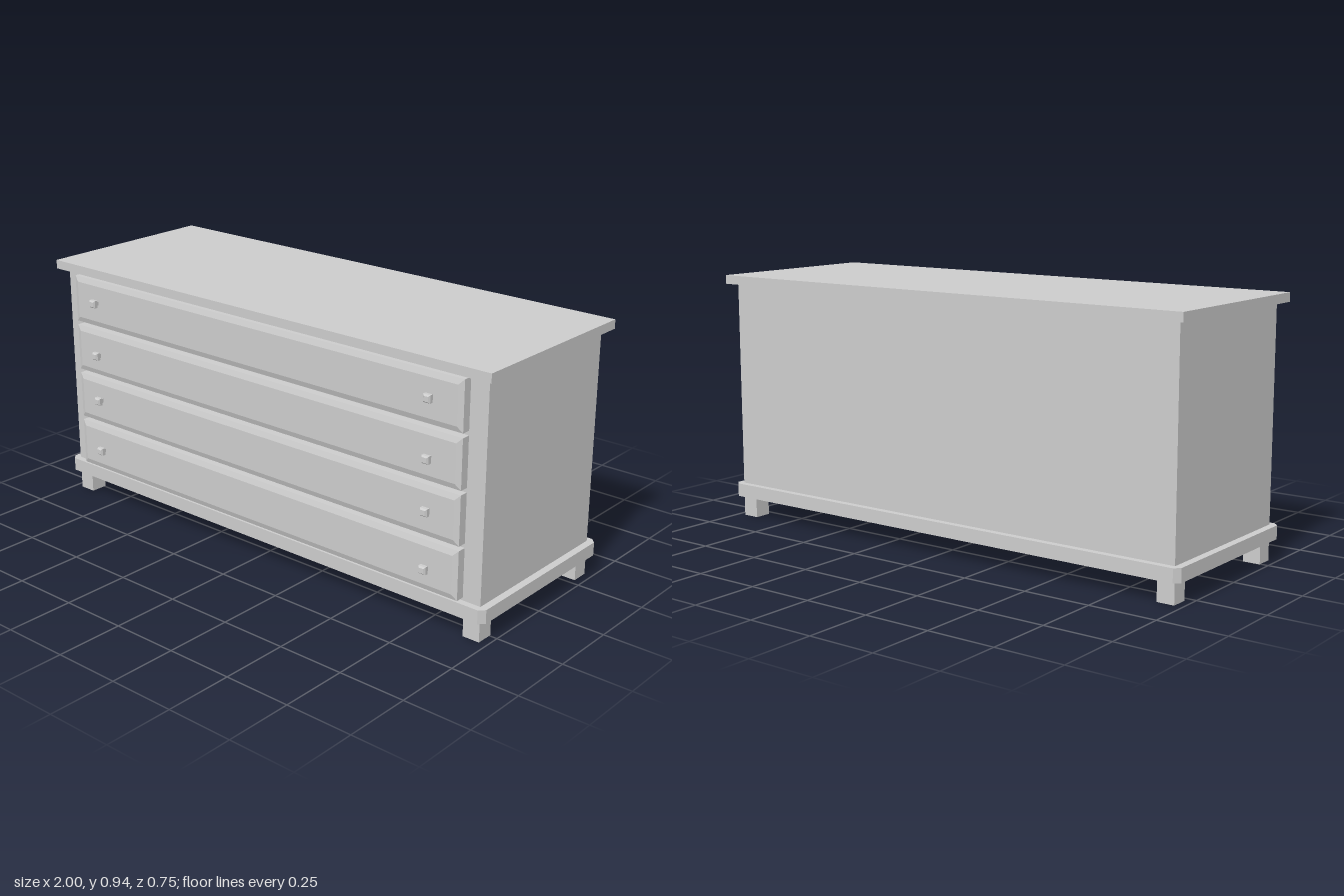
import * as THREE from 'three';

const material = new THREE.MeshStandardMaterial({ color: 0xcccccc, flatShading: true });

function add(parent, name, geometry, x = 0, y = 0, z = 0) {
  const mesh = new THREE.Mesh(geometry, material);
  mesh.name = name;
  mesh.position.set(x, y, z);
  parent.add(mesh);
  return mesh;
}

// Box given by its limits on each axis
function addBox(parent, name, [x0, x1], [y0, y1], [z0, z1]) {
  return add(parent, name, new THREE.BoxGeometry(x1 - x0, y1 - y0, z1 - z0),
    (x0 + x1) / 2, (y0 + y1) / 2, (z0 + z1) / 2);
}

// Panel with its back at z = 0 and a sloped border around the front face
function bevelledPanel(width, height, edgeDepth, depth, inset) {
  const geometry = new THREE.BoxGeometry(width, height, 2, 1, 1, 2);
  const p = geometry.attributes.position;
  for (let i = 0; i < p.count; i++) {
    const layer = Math.round(p.getZ(i)) + 1;
    p.setZ(i, [0, edgeDepth, depth][layer]);
    if (layer === 2) {
      p.setX(i, p.getX(i) - Math.sign(p.getX(i)) * inset);
      p.setY(i, p.getY(i) - Math.sign(p.getY(i)) * inset);
    }
  }
  geometry.computeVertexNormals();
  return geometry;
}

// Plinth slab with its four vertical corners cut off
function plinthGeometry(x, zBack, zFront, height, cut) {
  const shape = new THREE.Shape([
    [-x + cut, -zFront], [x - cut, -zFront], [x, -zFront + cut], [x, -zBack - cut],
    [x - cut, -zBack], [-x + cut, -zBack], [-x, -zBack - cut], [-x, -zFront + cut],
  ].map(([a, b]) => new THREE.Vector2(a, b)));
  return new THREE.ExtrudeGeometry(shape, { depth: height, bevelEnabled: false })
    .rotateX(-Math.PI / 2);
}

// Square knob on a thin neck, pointing to +z
function knobGeometry() {
  const profile = [
    [0.008, 0], [0.008, 0.006], [0.014, 0.010], [0.014, 0.022], [0.009, 0.028], [0, 0.028],
  ].map(([r, h]) => new THREE.Vector2(r * Math.SQRT2, h));
  return new THREE.LatheGeometry(profile, 4).rotateY(Math.PI / 4).rotateX(Math.PI / 2);
}

export function createModel() {
  const model = new THREE.Group();
  model.name = 'chestOfDrawers';

  addBox(model, 'carcass', [-0.97, 0.97], [0.085, 0.91], [-0.34, 0.31]);
  addBox(model, 'topBoard', [-1, 1], [0.91, 0.943], [-0.375, 0.347]);
  add(model, 'plinth', plinthGeometry(0.997, -0.365, 0.335, 0.05, 0.02), 0, 0.08, 0);

  // Four block feet
  for (const side of [-1, 1]) {
    for (const z of [0.2775, -0.3075]) {
      add(model, 'foot', new THREE.BoxGeometry(0.065, 0.08, 0.065), side * 0.9375, 0.04, z);
    }
  }

  // Drawers, each with its own knob height
  const panel = bevelledPanel(1.8, 0.178, 0.032, 0.039, 0.02);
  const knob = knobGeometry();
  const knobHeights = [0.222, 0.428, 0.61, 0.816];
  knobHeights.forEach((knobY, i) => {
    const drawer = new THREE.Group();
    drawer.name = `drawer${i + 1}`;
    add(drawer, 'drawerFront', panel, 0, 0.229 + i * 0.194, 0.31);
    for (const side of [-1, 1]) add(drawer, 'knob', knob, side * 0.778, knobY, 0.349);
    model.add(drawer);
  });

  return model;
}
